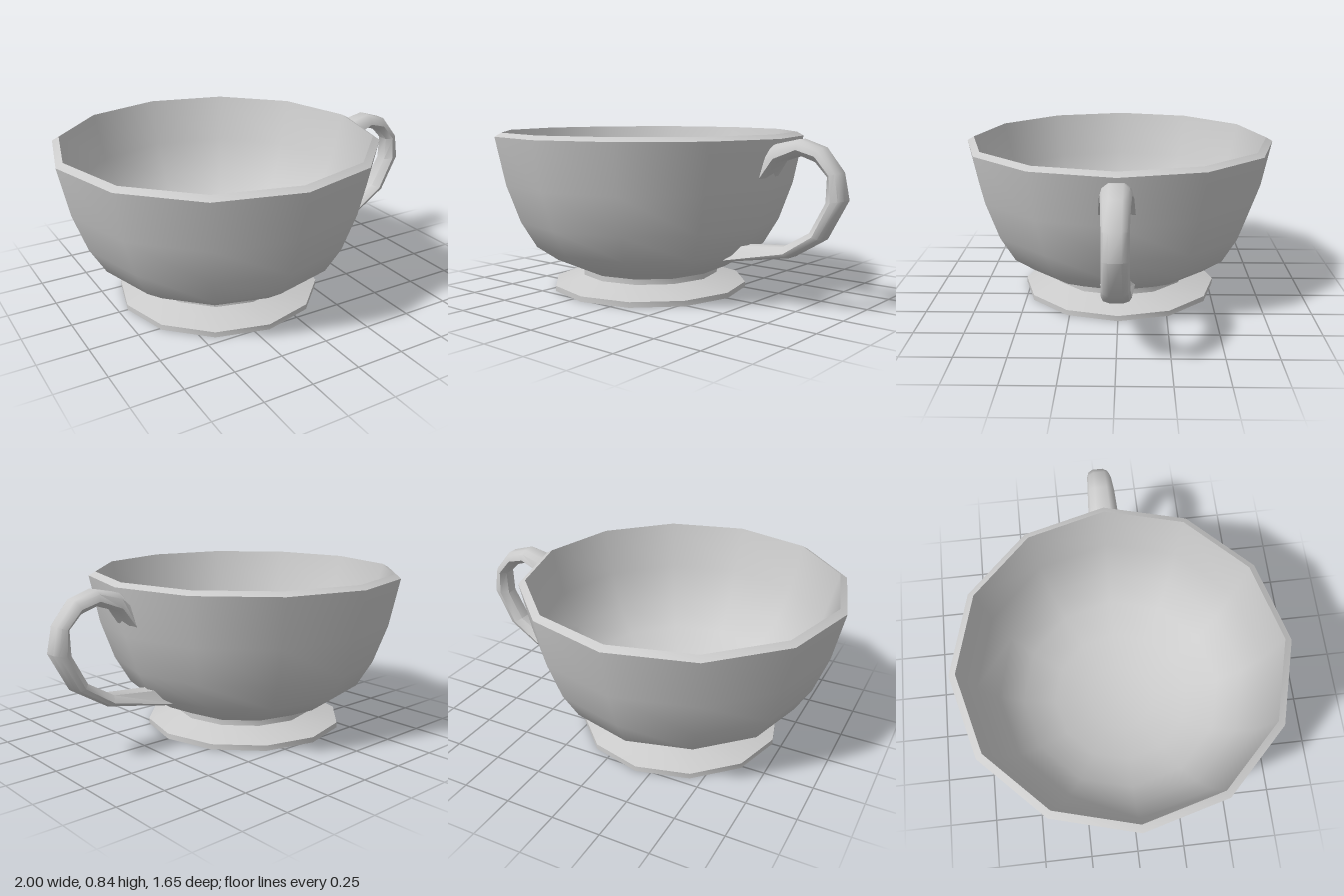
import * as THREE from 'three';
import { toCreasedNormals } from 'three/addons/utils/BufferGeometryUtils.js';

const SIDES = 12;
const CUP_X = -0.177;
const CREASE = 0.8;

function makeMesh(name, geometry, flatShading = false) {
  const material = new THREE.MeshStandardMaterial({ color: 0xcccccc, flatShading, side: THREE.DoubleSide });
  const mesh = new THREE.Mesh(toCreasedNormals(geometry, CREASE), material);
  mesh.name = name;
  return mesh;
}

// Twelve-sided turned part from [radius, height] pairs
function turned(name, profile, flatShading) {
  const points = profile.map(([r, y]) => new THREE.Vector2(r, y));
  const mesh = makeMesh(name, new THREE.LatheGeometry(points, SIDES), flatShading);
  mesh.position.x = CUP_X;
  return mesh;
}

// Handle: one octagonal section per station; its widest line drifts from the
// inner side at the top joint to the outer side at the lower joint
function makeHandle() {
  // outer x, outer y, inner x, inner y, half width, place of the widest line (0 inner, 1 outer)
  const stations = [
    [0.60, 0.78, 0.562, 0.59, 0.088, 0.1],
    [0.645, 0.80, 0.655, 0.715, 0.078, 0.2],
    [0.765, 0.826, 0.77, 0.752, 0.07, 0.35],
    [0.88, 0.79, 0.85, 0.725, 0.064, 0.4],
    [0.972, 0.68, 0.912, 0.66, 0.06, 0.4],
    [0.999, 0.555, 0.908, 0.54, 0.06, 0.4],
    [0.895, 0.365, 0.83, 0.395, 0.064, 0.45],
    [0.727, 0.263, 0.69, 0.312, 0.07, 0.55],
    [0.335, 0.194, 0.43, 0.287, 0.088, 0.85],
  ];
  const n = 8;
  const positions = [];
  const index = [];
  stations.forEach(([xo, yo, xi, yi, w, widest], i) => {
    const half = [[1, 0.45], [0.65 + 0.35 * widest, 0.85], [widest, 1], [0, 0.5]];
    const section = [...half.map(([u, v]) => [u, -v]), ...half.reverse()];
    section.forEach(([u, v], j) => {
      positions.push(xi + (xo - xi) * u, yi + (yo - yi) * u, v * w);
      if (i === stations.length - 1) return;
      const a = i * n + j;
      const c = i * n + (j + 1) % n;
      index.push(a, a + n, c, a + n, c + n, c);
    });
  });
  const geometry = new THREE.BufferGeometry();
  geometry.setAttribute('position', new THREE.Float32BufferAttribute(positions, 3));
  geometry.setIndex(index);
  return makeMesh('handle', geometry);
}

export function createModel() {
  const cup = new THREE.Group();
  cup.name = 'cup';

  // Bowl: outer wall, bevelled rim, inner wall and rounded floor
  cup.add(turned('bowl', [
    [0.372, 0.105], [0.512, 0.168], [0.622, 0.245], [0.702, 0.38], [0.772, 0.575], [0.823, 0.822],
    [0.788, 0.842],
    [0.727, 0.6], [0.64, 0.42], [0.525, 0.295], [0.36, 0.21], [0.18, 0.165], [0, 0.15],
  ]));

  // Foot: thin edge, sloped top and short neck
  cup.add(turned('foot', [[0.527, 0], [0.527, 0.028], [0.372, 0.077], [0.372, 0.105]]));

  // Hollow underside of the foot, in flat facets
  cup.add(turned('footUnderside', [[0, 0.1], [0.26, 0.1], [0.495, 0], [0.527, 0]], true));

  cup.add(makeHandle());
  return cup;
}
